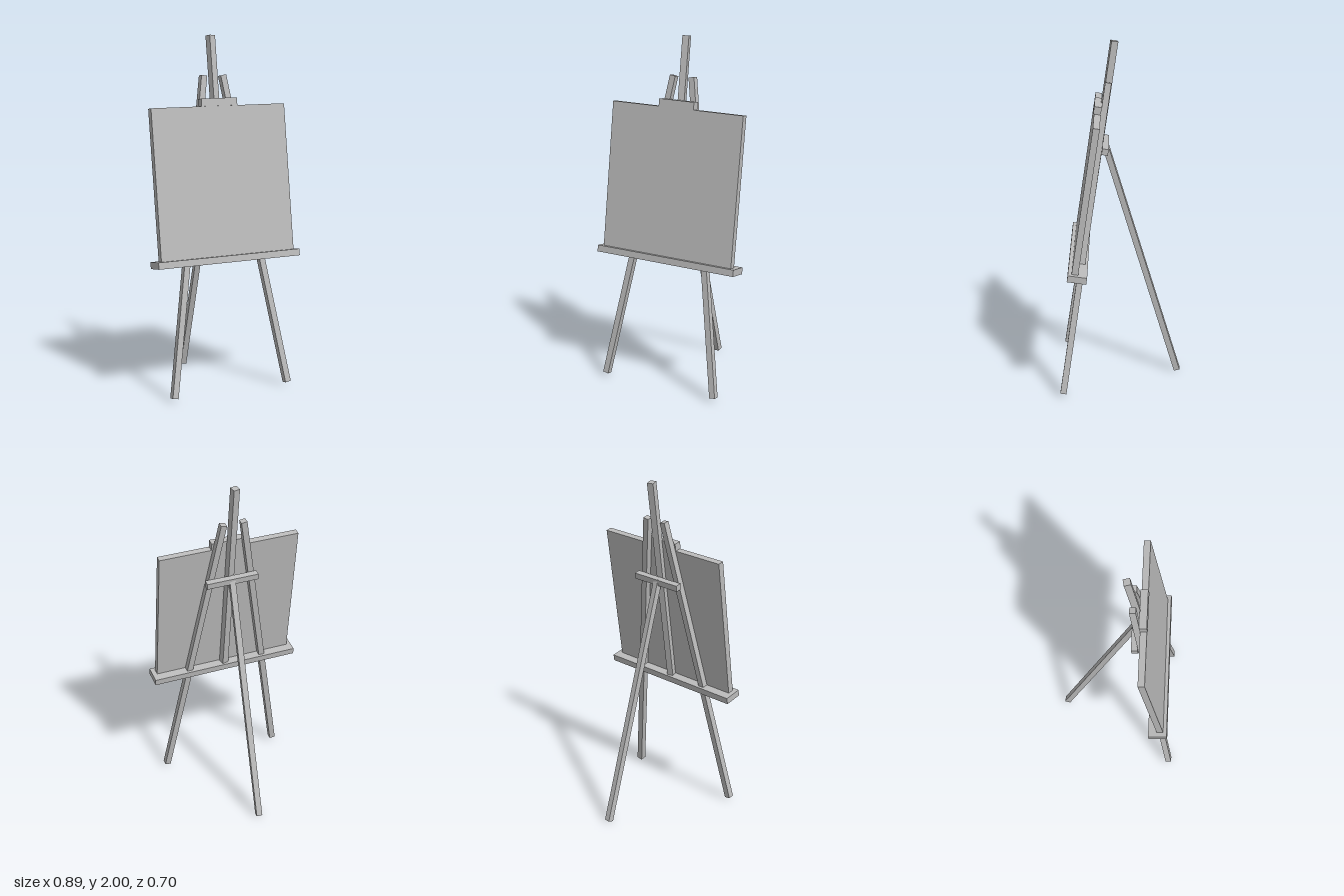
import * as THREE from 'three';

const UP = new THREE.Vector3(0, 1, 0);

export function createModel() {
  const grey = new THREE.MeshStandardMaterial({ color: 0xbbbbbb });
  grey.name = 'plain grey';

  const easel = new THREE.Group();
  easel.name = 'easel';

  // Leaning plane that carries everything but the back leg
  const frame = new THREE.Group();
  frame.name = 'leaningFrame';
  frame.position.set(0, 0.02, 0.335);
  frame.rotation.x = THREE.MathUtils.degToRad(-8.5);
  easel.add(frame);

  // Axis-aligned slab
  function slab(parent, name, size, centre) {
    const mesh = new THREE.Mesh(new THREE.BoxGeometry(...size), grey);
    mesh.name = name;
    mesh.position.set(...centre);
    parent.add(mesh);
  }

  // Square beam between two end points, rolled about its own length
  function beam(parent, name, from, to, thickness, rollDegrees = 0) {
    const a = new THREE.Vector3(...from);
    const b = new THREE.Vector3(...to);
    const dir = b.clone().sub(a);
    const mesh = new THREE.Mesh(new THREE.BoxGeometry(thickness, dir.length(), thickness), grey);
    mesh.name = name;
    mesh.position.copy(a).add(b).multiplyScalar(0.5);
    mesh.quaternion.setFromUnitVectors(UP, dir.normalize());
    mesh.rotateY(THREE.MathUtils.degToRad(rollDegrees));
    parent.add(mesh);
  }

  // Front legs and centre mast
  beam(frame, 'rightFrontLeg', [-0.373, 0, 0], [-0.062, 1.775, 0], 0.035);
  beam(frame, 'leftFrontLeg', [0.346, 0, 0], [0.058, 1.775, 0], 0.035);
  beam(frame, 'mast', [0, 0.74, 0], [0, 2.0, 0], 0.038, 12);

  // Canvas, the tray below it and the clamp above it
  slab(frame, 'canvas', [0.837, 0.838, 0.037], [-0.001, 1.181, 0.036]);
  slab(frame, 'tray', [0.891, 0.038, 0.108], [-0.001, 0.743, 0.021]);
  slab(frame, 'clamp', [0.224, 0.043, 0.042], [-0.001, 1.6215, 0.038]);

  // Crossbar behind the legs and the back leg fixed to it
  slab(frame, 'crossbar', [0.311, 0.036, 0.036], [-0.001, 1.405, -0.036]);
  beam(easel, 'backLeg', [0.003, 0.006, -0.333], [-0.001, 1.415, 0.094], 0.034, -6);

  return easel;
}
